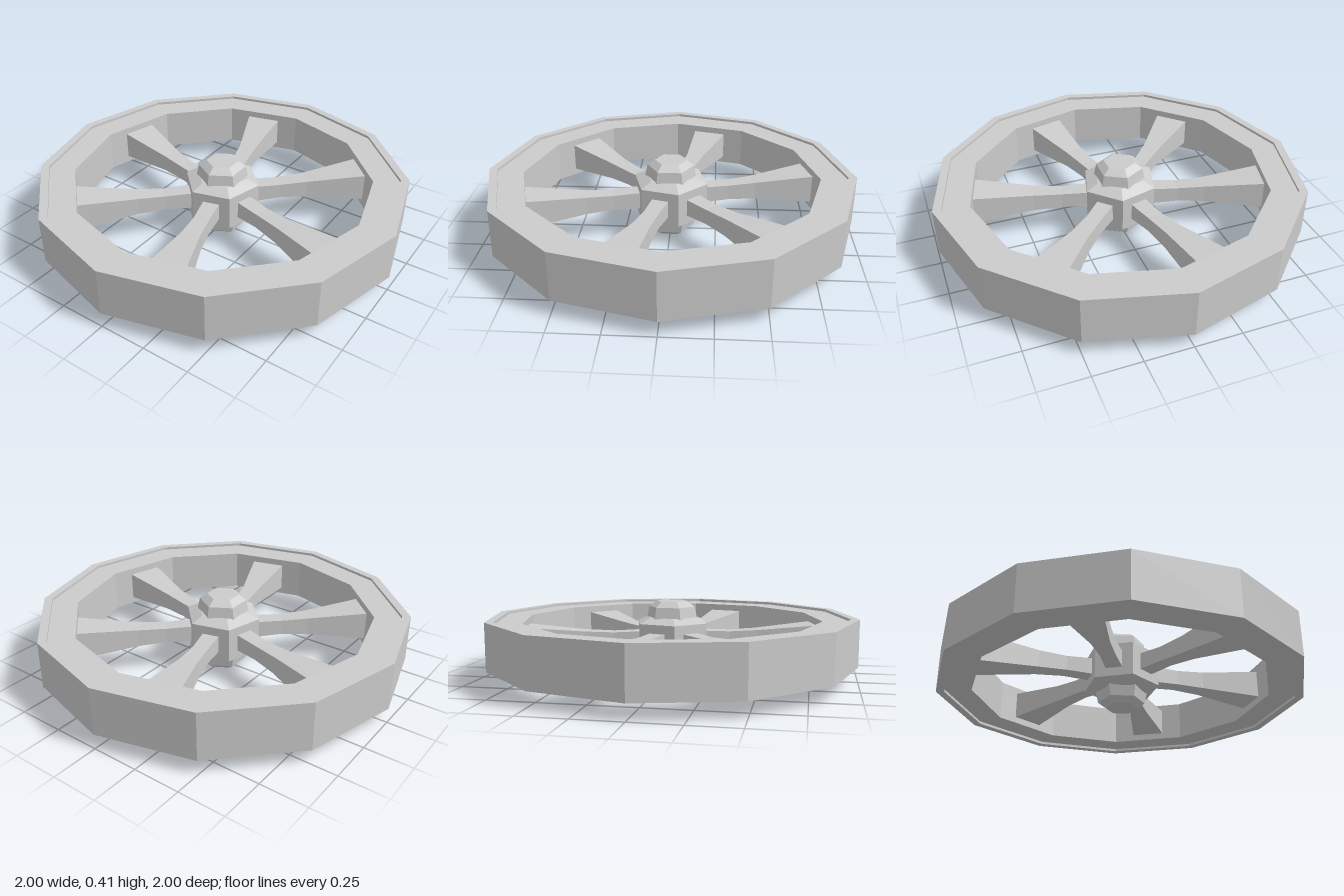
import * as THREE from 'three';

const MID = 0.2075; // height of the wheel's middle plane

const material = new THREE.MeshStandardMaterial({ color: 0xcccccc, flatShading: true });

// Faceted solid of revolution; profile is [radius, height above the middle plane]
function turned(name, profile, sides, angle = 0) {
  const points = profile.map(([r, y]) => new THREE.Vector2(r, y));
  const mesh = new THREE.Mesh(new THREE.LatheGeometry(points, sides), material);
  mesh.name = name;
  mesh.position.y = MID;
  mesh.rotation.y = angle;
  return mesh;
}

// Mirrors an upper half profile (listed from outside to axis) below the middle plane
function mirrored(upper) {
  return [...upper.map(([r, y]) => [r, -y]).reverse(), ...upper];
}

// Square bar along +z, resized at each station [distance, half width, half height]
function spokeGeometry() {
  const stations = [
    [0.15, 0.046, 0.047],
    [0.317, 0.041, 0.041],
    [0.467, 0.049, 0.048],
    [0.8, 0.097, 0.078],
  ];
  const geometry = new THREE.BoxGeometry(2, 2, 3, 1, 1, 3);
  const p = geometry.attributes.position;
  for (let i = 0; i < p.count; i++) {
    const [z, w, h] = stations[Math.round(p.getZ(i) + 1.5)];
    p.setXYZ(i, p.getX(i) * w, p.getY(i) * h, z);
  }
  geometry.computeVertexNormals();
  return geometry;
}

export function createModel() {
  const wheel = new THREE.Group();
  wheel.name = 'wheel';

  // Twelve-sided rim: outer tyre band standing slightly proud of the inner ring
  const rimHalf = [[1, 0.1275], [0.955, 0.1275], [0.955, 0.113], [0.81, 0.113]];
  const rim = mirrored(rimHalf);
  rim.push(rim[0]);
  wheel.add(turned('rim', rim, 12));

  // Six-sided hub with chamfered ends
  const hub = mirrored([[0.207, 0.093], [0.14, 0.122], [0, 0.122]]);
  wheel.add(turned('hub', hub, 6, Math.PI / 4));

  // Axle with bevelled caps above and below the hub
  const axle = mirrored([[0.142, 0.1], [0.126, 0.178], [0.085, 0.2075], [0, 0.2075]]);
  wheel.add(turned('axle', axle, 6));

  // Six flared spokes
  const geometry = spokeGeometry();
  for (let i = 0; i < 6; i++) {
    const spoke = new THREE.Mesh(geometry, material);
    spoke.name = `spoke${i + 1}`;
    spoke.position.y = MID;
    spoke.rotation.y = Math.PI / 12 + (i * Math.PI) / 3;
    wheel.add(spoke);
  }
  return wheel;
}
